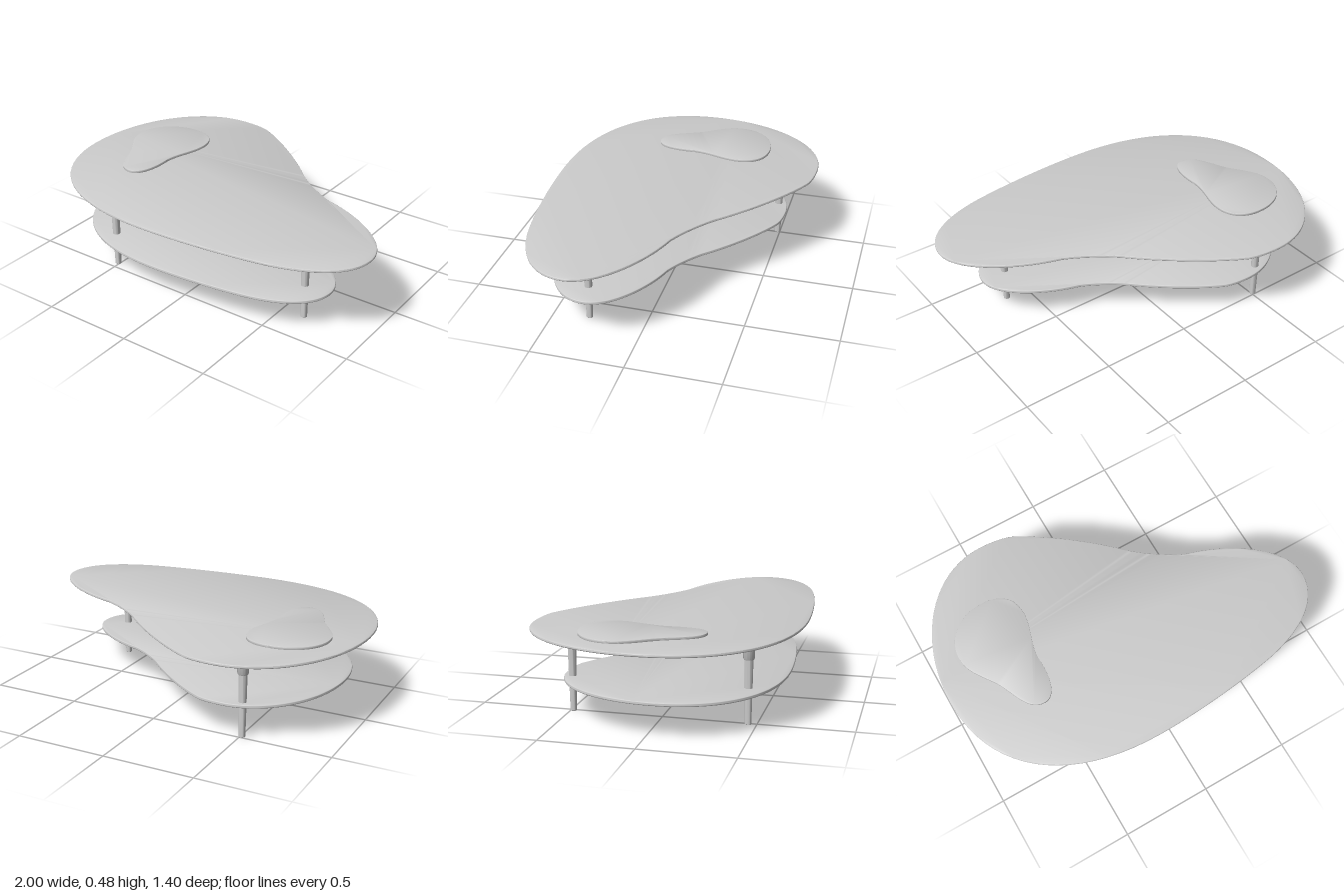
import * as THREE from 'three';
import { toCreasedNormals } from 'three/addons/utils/BufferGeometryUtils.js';

const material = new THREE.MeshStandardMaterial({ color: 0xcccccc });

// Closed outline in (x, z): a start point, then cubic curves [c1x, c1z, c2x, c2z, x, z]
function outline(start, curves) {
  const shape = new THREE.Shape();
  shape.moveTo(...start);
  curves.forEach((c) => shape.bezierCurveTo(...c));
  return shape;
}

// Flat slab with softened rim, between heights y0 and y1
function slab(name, shape, y0, y1, bevel) {
  const geometry = new THREE.ExtrudeGeometry(shape, {
    depth: y1 - y0 - 2 * bevel,
    curveSegments: 20,
    bevelThickness: bevel,
    bevelSize: bevel,
    bevelOffset: -bevel,
    bevelSegments: 4,
  });
  geometry.rotateX(Math.PI / 2);
  geometry.translate(0, y1 - bevel, 0);
  const mesh = new THREE.Mesh(toCreasedNormals(geometry, 0.6), material);
  mesh.name = name;
  return mesh;
}

// Turned part from [radius, height] pairs, bottom to top
function turned(name, profile) {
  const points = profile.map(([r, y]) => new THREE.Vector2(r, y));
  const geometry = toCreasedNormals(new THREE.LatheGeometry(points, 32), 0.6);
  const mesh = new THREE.Mesh(geometry, material);
  mesh.name = name;
  return mesh;
}

export function createModel() {
  const model = new THREE.Group();
  model.name = 'coffeeTable';

  // Free-form top
  const topShape = outline([-1, 0], [
    [-1, -0.39, -0.76, -0.705, -0.46, -0.705],
    [-0.39, -0.705, -0.31, -0.695, -0.27, -0.675],
    [-0.12, -0.6, 0.1, -0.43, 0.24, -0.285],
    [0.32, -0.21, 0.43, -0.14, 0.51, -0.105],
    [0.75, -0.04, 1, 0.13, 1, 0.3],
    [1, 0.47, 0.83, 0.58, 0.6, 0.63],
    [0.4, 0.67, 0.1, 0.7, -0.13, 0.7],
    [-0.68, 0.7, -1, 0.43, -1, 0],
  ]);
  model.add(slab('tableTop', topShape, 0.454, 0.47, 0.006));

  // Lower shelf: the same outline, smaller
  const shelf = slab('lowerShelf', topShape, 0.175, 0.193, 0.006);
  shelf.scale.set(0.82, 1, 0.825);
  shelf.position.set(-0.045, 0, 0.038);
  model.add(shelf);

  // Raised inlay on the top
  const inlayShape = outline([-0.85, -0.185], [
    [-0.85, -0.31, -0.74, -0.4, -0.605, -0.4],
    [-0.49, -0.4, -0.43, -0.34, -0.43, -0.24],
    [-0.43, -0.15, -0.485, -0.07, -0.485, 0.03],
    [-0.475, 0.17, -0.51, 0.255, -0.57, 0.255],
    [-0.68, 0.255, -0.69, 0.1, -0.76, 0.01],
    [-0.81, -0.06, -0.85, -0.11, -0.85, -0.185],
  ]);
  model.add(slab('inlay', inlayShape, 0.468, 0.484, 0.002));

  // Three tapered legs with a thicker sleeve under the top
  const legs = { frontRightLeg: [-0.51, 0.455], frontLeftLeg: [0.63, 0.305], backRightLeg: [-0.51, -0.485] };
  for (const [name, [x, z]] of Object.entries(legs)) {
    const leg = new THREE.Group();
    leg.name = name;
    leg.add(turned('legPost', [[0, 0], [0.015, 0], [0.017, 0.002], [0.023, 0.35]]));
    leg.add(turned('legSleeve', [[0, 0.343], [0.026, 0.343], [0.029, 0.348], [0.032, 0.456], [0, 0.456]]));
    leg.position.set(x, 0, z);
    model.add(leg);
  }

  return model;
}
